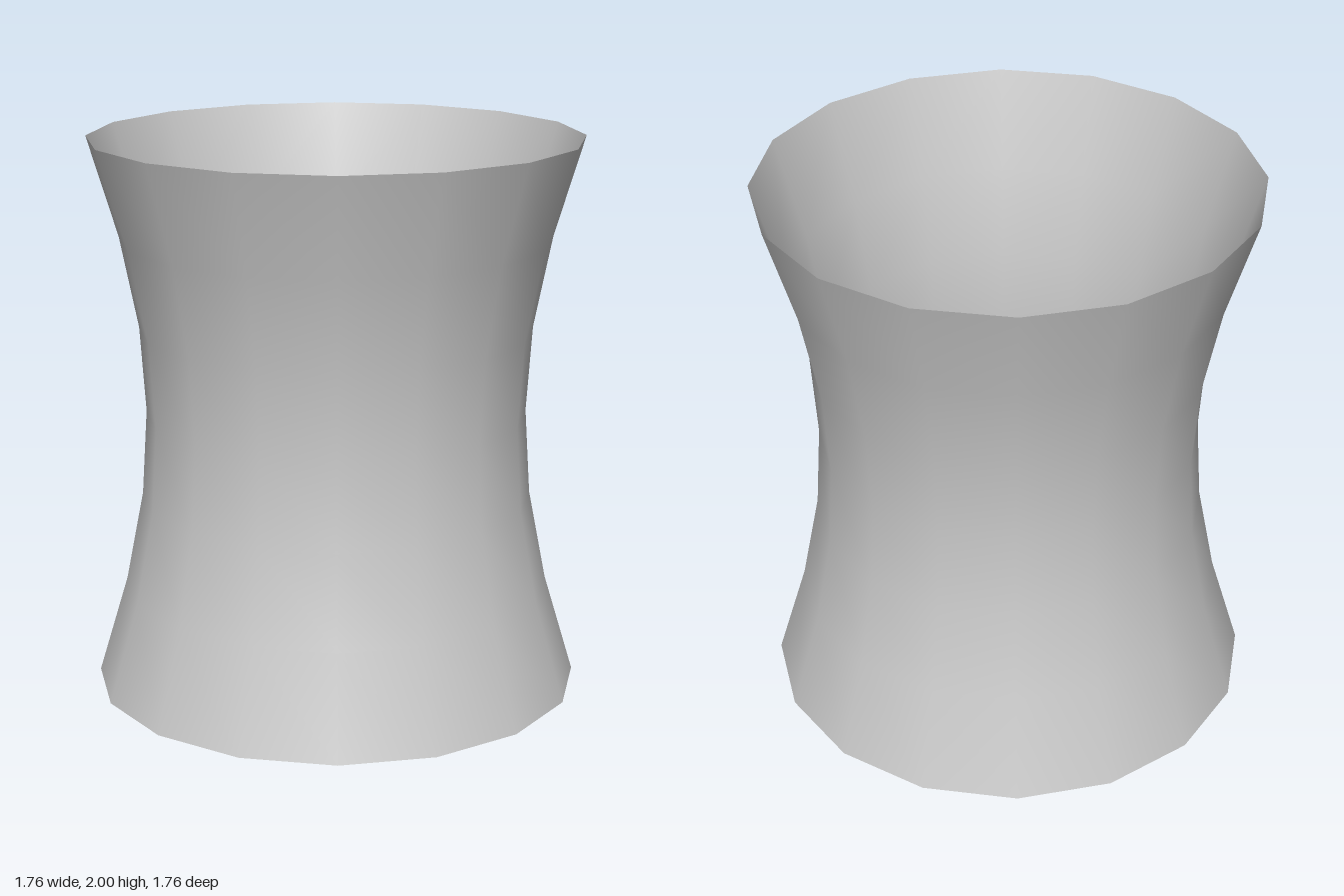
import * as THREE from 'three';

export function createModel() {
  const group = new THREE.Group();

  // Waisted profile: [height above the waist, radius], mirrored below it
  const half = [[0, 0.687], [0.31, 0.707], [0.64, 0.772], [1, 0.88]];
  const profile = [
    ...half.slice(1).reverse().map(([h, r]) => new THREE.Vector2(r, 1 - h)),
    ...half.map(([h, r]) => new THREE.Vector2(r, 1 + h)),
  ];

  // Open sixteen-sided tube, smooth shaded and visible from inside
  const shell = new THREE.Mesh(
    new THREE.LatheGeometry(profile, 16),
    new THREE.MeshStandardMaterial({ color: 0xcccccc, side: THREE.DoubleSide })
  );
  shell.name = 'hyperboloidShell';
  group.add(shell);

  return group;
}
